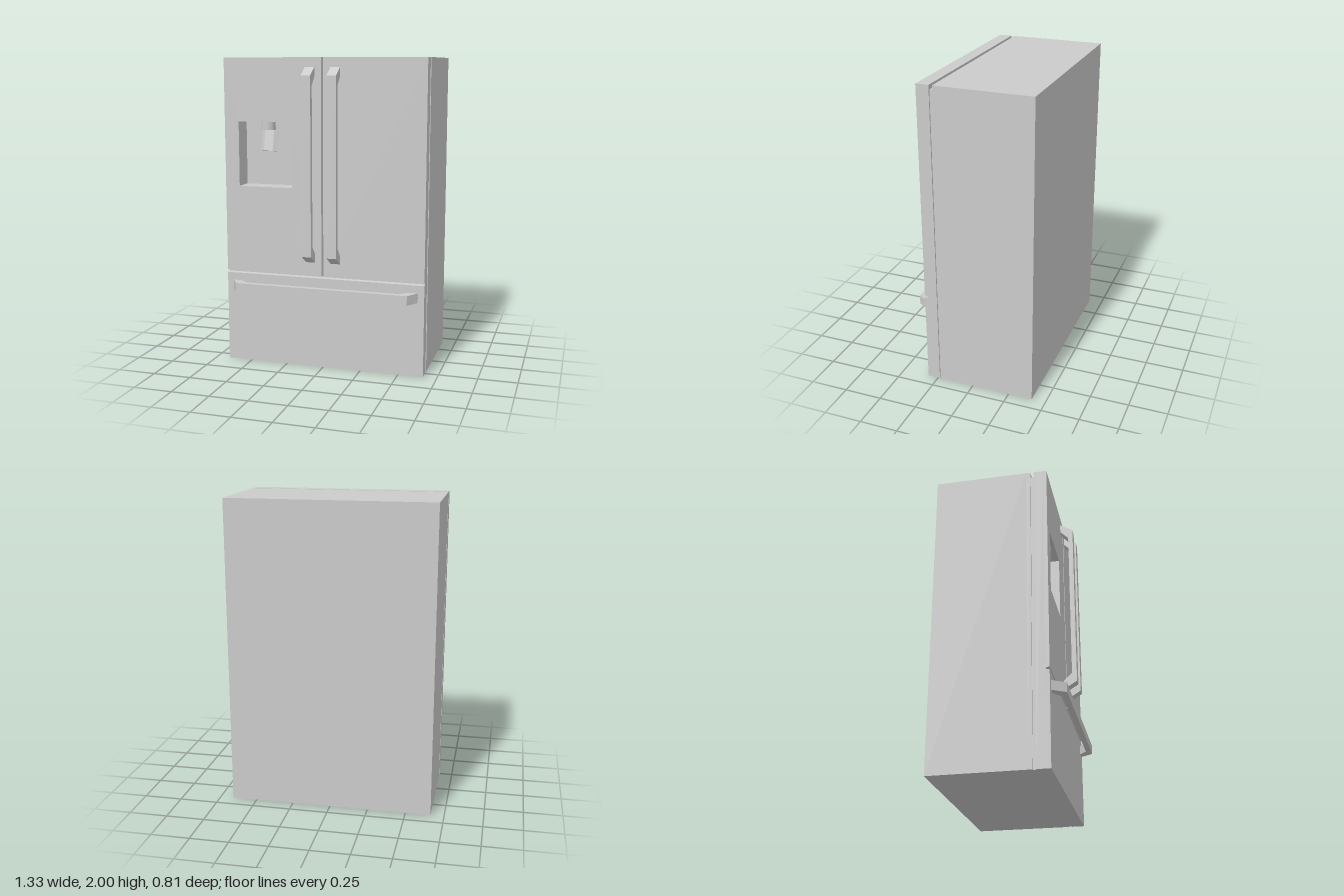
import * as THREE from 'three';

const W = 0.663, DOOR = 0.32;
const RECESS = [-0.567, 1.175, -0.205, 1.595];
const material = new THREE.MeshStandardMaterial({ color: 0xcccccc, flatShading: true });

function add(parent, name, geometry) {
  const mesh = new THREE.Mesh(geometry, material);
  mesh.name = name;
  parent.add(mesh);
  return mesh;
}

function rect(Type, [x0, y0, x1, y1]) {
  return new Type([[x0, y0], [x1, y0], [x1, y1], [x0, y1]].map(p => new THREE.Vector2(...p)));
}

// Flat panel between two depths, optionally pierced by the dispenser recess
function panel(bounds, z0, z1, pierced) {
  const shape = rect(THREE.Shape, bounds);
  if (pierced) shape.holes.push(rect(THREE.Path, RECESS));
  return new THREE.ExtrudeGeometry(shape, { depth: z1 - z0, bevelEnabled: false }).translate(0, 0, z0);
}

// Widen the rear edge of a front panel so the grooves narrow with depth
function taper(geometry, z0) {
  const p = geometry.attributes.position;
  for (let i = 0; i < p.count; i++) {
    if (p.getZ(i) > z0 + 0.001) continue;
    const x = p.getX(i), y = p.getY(i);
    if (Math.abs(Math.abs(x) - 0.01) < 0.001) p.setX(i, x * 0.4);
    if (Math.abs(y - 0.612) < 0.001) p.setY(i, 0.607);
    if (Math.abs(y - 0.594) < 0.001) p.setY(i, 0.599);
  }
  geometry.computeVertexNormals();
  return geometry;
}

// Bar handle with angled ends, lying along x and projecting to +z
function handleGeometry(half, thickness, reach, bar) {
  const outer = [[half, 0], [half - 0.052, reach], [-half + 0.052, reach], [-half, 0]];
  const inner = [[-half + 0.057, 0], [-half + 0.112, reach - bar], [half - 0.112, reach - bar], [half - 0.057, 0]];
  const shape = new THREE.Shape([...outer, ...inner].map(p => new THREE.Vector2(...p)));
  return new THREE.ExtrudeGeometry(shape, { depth: thickness, bevelEnabled: false })
    .translate(0, 0, -thickness / 2).rotateX(Math.PI / 2);
}

export function createModel() {
  const model = new THREE.Group();
  model.name = 'refrigerator';

  // Cabinet, whose front layer opens into the dispenser recess
  const backDepth = 0.595;
  add(model, 'cabinet', new THREE.BoxGeometry(2 * W, 2, backDepth).translate(0, 1, -0.408 + backDepth / 2));
  add(model, 'cabinetFront', panel([-W, 0, W, 2], 0.187, 0.215, true));

  // Inset gasket between the cabinet and the doors
  add(model, 'doorGasket', panel([-0.653, 0, 0.653, 1.97], 0.215, 0.237, true));

  // Door backing and the three front panels separated by grooves
  const grooveZ = 0.298;
  add(model, 'doorBacking', panel([-W, 0, W, 2], 0.237, grooveZ, true));
  add(model, 'rightDoor', taper(panel([-W, 0.612, -0.01, 2], grooveZ, DOOR, true), grooveZ));
  add(model, 'leftDoor', taper(panel([0.01, 0.612, W, 2], grooveZ, DOOR, false), grooveZ));
  add(model, 'freezerDrawer', taper(panel([-W, 0, W, 0.594], grooveZ, DOOR, false), grooveZ));

  // Vertical door handles
  for (const side of [-1, 1]) {
    const handle = add(model, side > 0 ? 'leftDoorHandle' : 'rightDoorHandle',
      handleGeometry(0.622, 0.062, 0.085, 0.031).rotateZ(Math.PI / 2));
    handle.position.set(side * 0.083, 1.318, DOOR);
  }

  // Horizontal drawer handle
  const drawerHandle = add(model, 'drawerHandle', handleGeometry(0.622, 0.062, 0.085, 0.036));
  drawerHandle.position.set(0, 0.513, DOOR);

  // Dispenser spout and curved, tilted paddle
  const dispenser = new THREE.Group();
  dispenser.name = 'dispenser';
  dispenser.position.set(-0.39, 0, 0);
  model.add(dispenser);
  add(dispenser, 'spout', new THREE.CylinderGeometry(0.048, 0.048, 0.055, 16).translate(0, 1.568, 0.25));

  const arc = [[-0.056, 0], [-0.03, 0.018], [0.03, 0.018], [0.056, 0]];
  const outline = [...arc, ...arc.map(([x, y]) => [x * 0.9, y - 0.011]).reverse()];
  const paddleShape = new THREE.Shape(outline.map(p => new THREE.Vector2(...p)));
  const paddle = add(dispenser, 'paddle',
    new THREE.ExtrudeGeometry(paddleShape, { depth: 0.19, bevelEnabled: false }).rotateX(Math.PI / 2));
  paddle.position.set(0, 1.585, 0.196);
  paddle.rotation.x = -0.22;

  return model;
}
